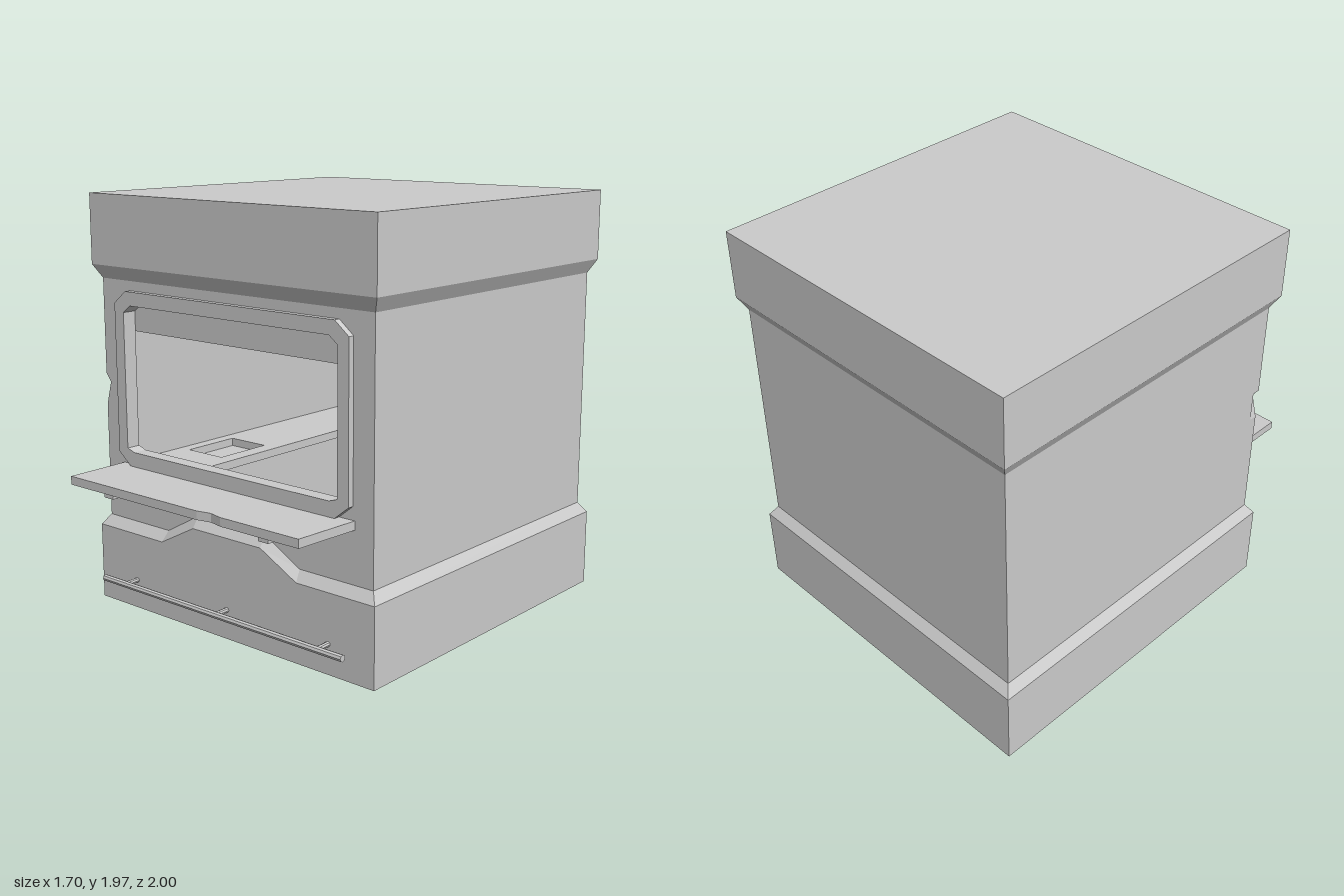
import * as THREE from 'three';

const material = new THREE.MeshStandardMaterial({ color: 0xcccccc, flatShading: true, side: THREE.DoubleSide });

export function createModel() {
  const model = new THREE.Group();

  const add = (name, geometry) => {
    const mesh = new THREE.Mesh(geometry, material);
    mesh.name = name;
    model.add(mesh);
    return mesh;
  };

  // Box given by its limits on each axis
  const box = (name, [x0, x1], [y0, y1], [z0, z1]) => {
    const g = new THREE.BoxGeometry(x1 - x0, y1 - y0, z1 - z0);
    g.translate((x0 + x1) / 2, (y0 + y1) / 2, (z0 + z1) / 2);
    return add(name, g);
  };

  // Geometry from flat quads, corners counter-clockwise from outside
  const quads = (list) => {
    const pos = [];
    for (const [a, b, c, d] of list) pos.push(...a, ...b, ...c, ...a, ...c, ...d);
    const g = new THREE.BufferGeometry();
    g.setAttribute('position', new THREE.Float32BufferAttribute(pos, 3));
    g.computeVertexNormals();
    return g;
  };

  // Rectangular loft through sections [y, inset], optionally closed on top and bottom
  const loft = (sections, capBottom, capTop) => {
    const rings = sections.map(([y, i]) => [
      [-0.85 + i, y, 0.71 - i], [0.85 - i, y, 0.71 - i],
      [0.85 - i, y, -1 + i], [-0.85 + i, y, -1 + i],
    ]);
    const list = [];
    for (let r = 0; r < rings.length - 1; r++) {
      for (let k = 0; k < 4; k++) {
        const n = (k + 1) % 4;
        list.push([rings[r][k], rings[r][n], rings[r + 1][n], rings[r + 1][k]]);
      }
    }
    if (capBottom) list.push([...rings[0]].reverse());
    if (capTop) list.push(rings[rings.length - 1]);
    return quads(list);
  };

  const outline = (points, Type = THREE.Shape) => new Type(points.map(([x, y]) => new THREE.Vector2(x, y)));

  // Rectangle with cut corners: cx across, top and bottom cut heights
  const cutCorners = (x, y0, y1, cx, cb, ct) => [
    [-x + cx, y0], [x - cx, y0], [x, y0 + cb], [x, y1 - ct],
    [x - cx, y1], [-x + cx, y1], [-x, y1 - ct], [-x, y0 + cb],
  ];

  const extrude = (shape, z0, z1) => {
    const g = new THREE.ExtrudeGeometry(shape, { depth: z1 - z0, bevelEnabled: false });
    g.translate(0, 0, z0);
    return g;
  };

  // Base plinth and roof cap with sloping edges
  add('base', loft([[0, 0], [0.37, 0], [0.42, 0.035]], true, false));
  add('cap', loft([[1.575, 0.035], [1.64, 0], [1.97, 0]], true, true));

  // Hollow body
  for (const s of [-1, 1]) {
    const wall = box('sideWall', [0.67, 0.815], [0.01, 1.58], [-0.965, 0.635]);
    if (s < 0) wall.position.x = -1.485;
  }
  box('backWall', [-0.67, 0.67], [0.01, 1.58], [-0.965, -0.93]);
  box('floor', [-0.67, 0.67], [0.005, 0.02], [-0.93, 0.64]);

  // Front wall with window opening and a chipped edge
  const opening = cutCorners(0.645, 0.77, 1.465, 0.045, 0.015, 0.035);
  const front = outline([
    [-0.815, 0.01], [0.815, 0.01], [0.815, 1.58], [-0.815, 1.58],
    [-0.815, 1.12], [-0.785, 1.08], [-0.815, 0.97],
  ]);
  front.holes.push(outline(opening, THREE.Path));
  add('frontWall', extrude(front, 0.635, 0.675));

  // Raised window frame
  const frame = outline(cutCorners(0.705, 0.70, 1.53, 0.075, 0.06, 0.06));
  frame.holes.push(outline(opening, THREE.Path));
  add('windowFrame', extrude(frame, 0.675, 0.705));

  // Panel hanging behind the top of the window
  box('windowValance', [-0.67, 0.67], [1.335, 1.575], [0.61, 0.635]);

  // Inner counter along one side, with a sunken tray
  const counter = outline([[-0.67, -0.93], [-0.31, -0.93], [-0.31, 0.63], [-0.67, 0.63]]);
  counter.holes.push(outline([[-0.61, 0.04], [-0.39, 0.04], [-0.39, 0.34], [-0.61, 0.34]], THREE.Path));
  const counterTop = extrude(counter, 0, 0.04);
  counterTop.rotateX(Math.PI / 2);
  counterTop.translate(0, 0.71, 0);
  add('innerCounter', counterTop);
  box('counterTray', [-0.62, -0.38], [0.66, 0.672], [0.03, 0.35]);

  // Outer shelf with a small chip in its front edge, on two brackets
  const shelf = extrude(outline([
    [-0.705, 0.67], [0.715, 0.67], [0.695, 1], [0.26, 1], [0.19, 0.985], [0.12, 1], [-0.705, 1],
  ]), 0, 0.04);
  shelf.rotateX(Math.PI / 2);
  shelf.translate(0, 0.70, 0);
  add('shelf', shelf);
  for (const x of [-0.48, 0.475]) box('shelfBracket', [x - 0.028, x + 0.028], [0.63, 0.66], [0.67, 0.97]);

  // Raised centre of the plinth with a sloping rim
  const inner = [[-0.43, 0.365], [-0.21, 0.48], [0.21, 0.48], [0.43, 0.365]].map(([x, y]) => [x, y, 0.71]);
  const outer = [[-0.41, 0.42], [-0.21, 0.53], [0.21, 0.53], [0.41, 0.42]].map(([x, y]) => [x, y, 0.675]);
  const rim = [[inner[0], inner[3], inner[2], inner[1]]];
  for (let i = 0; i < 3; i++) rim.push([inner[i], inner[i + 1], outer[i + 1], outer[i]]);
  add('plinthRise', quads(rim));

  // Foot rail on three posts
  const rail = new THREE.CylinderGeometry(0.016, 0.016, 1.49, 8);
  rail.rotateZ(Math.PI / 2);
  rail.translate(0, 0.14, 0.787);
  add('footRail', rail);
  for (const x of [-0.6, 0, 0.6]) {
    const post = new THREE.CylinderGeometry(0.012, 0.012, 0.08, 8);
    post.rotateX(Math.PI / 2);
    post.translate(x, 0.14, 0.745);
    add('railPost', post);
  }

  return model;
}
